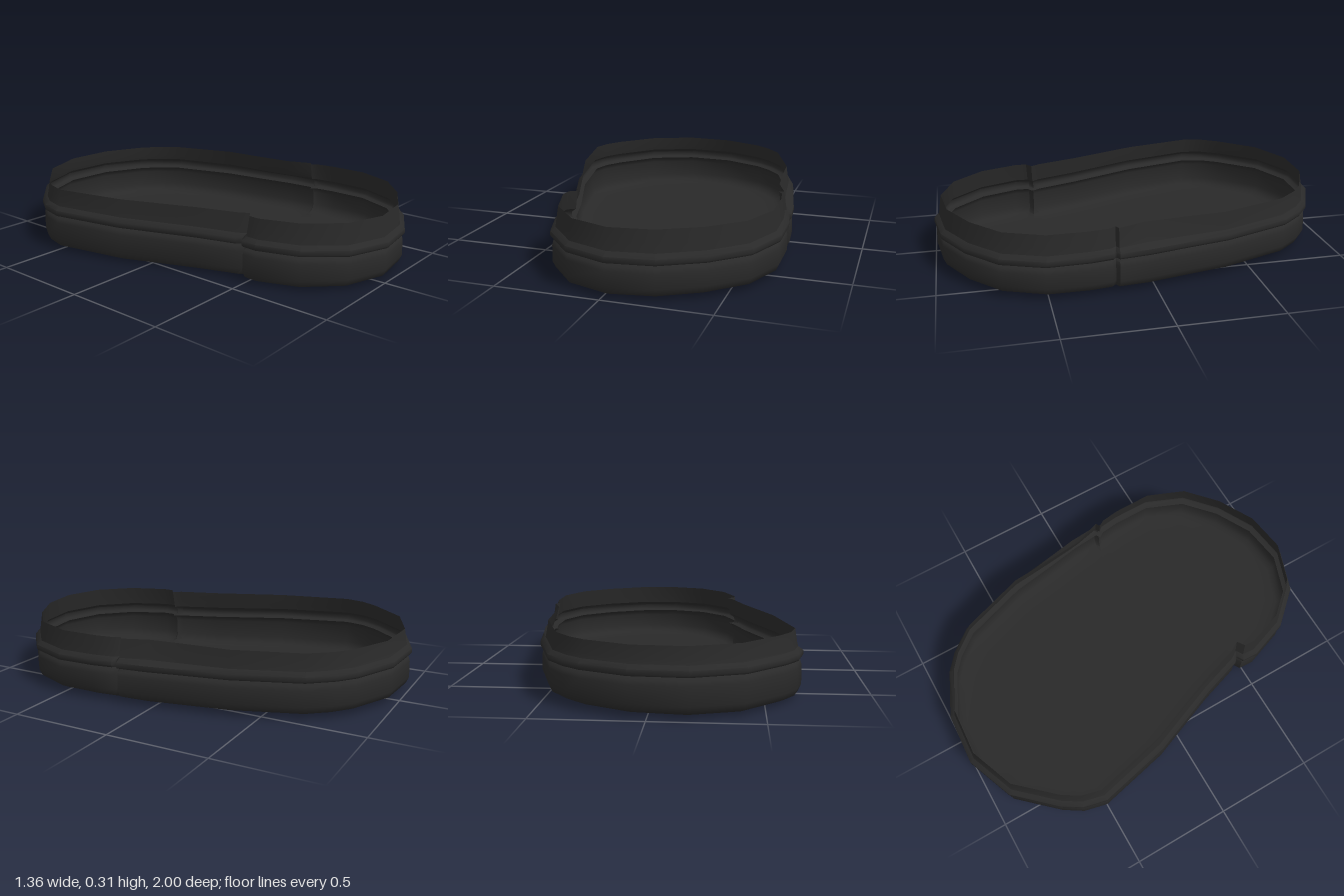
import * as THREE from 'three';
import { toCreasedNormals } from 'three/addons/utils/BufferGeometryUtils.js';

// Plan outline [x, z, extra inset of the upper rim], starting at the toe
const OUTLINE = [
  [-0.18, -1], [0.08, -0.985], [0.3, -0.885], [0.385, -0.815], [0.475, -0.7], [0.585, -0.37],
  [0.622, -0.15, 0.02], [0.655, 0.03, 0.035], [0.668, 0.175], [0.645, 0.19], [0.664, 0.205],
  [0.678, 0.31], [0.678, 0.51], [0.595, 0.715], [0.435, 0.86], [0.24, 0.965], [0.02, 0.995],
  [-0.19, 0.92], [-0.34, 0.755], [-0.41, 0.555], [-0.405, 0.475], [-0.37, 0.455], [-0.395, 0.435],
  [-0.46, 0.23], [-0.6, -0.13], [-0.683, -0.5], [-0.655, -0.62], [-0.595, -0.715], [-0.42, -0.905],
];
const N = OUTLINE.length;

// Inward unit normal at each outline point
const INWARD = OUTLINE.map((_, i) => {
  const a = OUTLINE[(i + N - 1) % N], b = OUTLINE[(i + 1) % N];
  return new THREE.Vector2(a[1] - b[1], b[0] - a[0]).normalize();
});

// Gentle slope of the underside and of the groove line
const baseSlope = (x, z) => 0.0145 * x + 0.015 * Math.max(0, -z) + 0.004 * Math.max(0, z);
const grooveSlope = (x, z) => 0.011 * (1 - z);
const level = () => 0;

// Shell built from rings; each row is [inset, height, slope rule, weight of extra rim inset]
function shell(name, rows, material, closed = false) {
  const pos = [], index = [];
  rows.forEach(([inset, y, slope, extra = 0]) => OUTLINE.forEach(([ox, oz, rim = 0], i) => {
    const d = inset + rim * extra;
    const x = ox + INWARD[i].x * d, z = oz + INWARD[i].y * d;
    pos.push(x, Math.max(0, y + slope(x, z)), z);
  }));
  for (let k = 0; k < rows.length - 1; k++) {
    for (let i = 0; i < N; i++) {
      const j = (i + 1) % N, a = k * N + i, b = k * N + j;
      index.push(a, a + N, b, b, a + N, b + N);
    }
  }
  // Floor fan around a centre point
  if (closed) {
    const c = pos.length / 3;
    pos.push(0.02, 0.009, 0);
    for (let i = 0; i < N; i++) index.push(c, i, (i + 1) % N);
  }
  const geo = new THREE.BufferGeometry();
  geo.setAttribute('position', new THREE.Float32BufferAttribute(pos, 3));
  geo.setIndex(index);
  const mesh = new THREE.Mesh(toCreasedNormals(geo, 0.85), material);
  mesh.name = name;
  return mesh;
}

export function createModel() {
  const rubber = new THREE.MeshStandardMaterial({ color: 0x292929, side: THREE.DoubleSide });
  rubber.name = 'black rubber';
  const group = new THREE.Group();
  group.name = 'shoeSole';

  // Floor, rounded bottom edge and lower wall up to the groove
  group.add(shell('sole', [
    [0.13, 0.009, baseSlope], [0.05, 0.01, baseSlope], [0.02, 0.024, baseSlope],
    [0.006, 0.055, baseSlope], [0.008, 0.13, grooveSlope], [0.014, 0.15, grooveSlope],
    [0.035, 0.162, grooveSlope],
  ], rubber, true));

  // Projecting lip above the groove
  group.add(shell('welt', [
    [0.035, 0.162, grooveSlope], [0.006, 0.168, grooveSlope], [0, 0.178, grooveSlope],
    [0.002, 0.197, grooveSlope], [0.026, 0.215, grooveSlope, 0.6],
  ], rubber));

  // Upper wall leaning inward to the open rim
  group.add(shell('upperBand', [
    [0.026, 0.215, grooveSlope, 0.6], [0.032, 0.255, level, 0.8], [0.042, 0.315, level, 1],
  ], rubber));
  return group;
}
